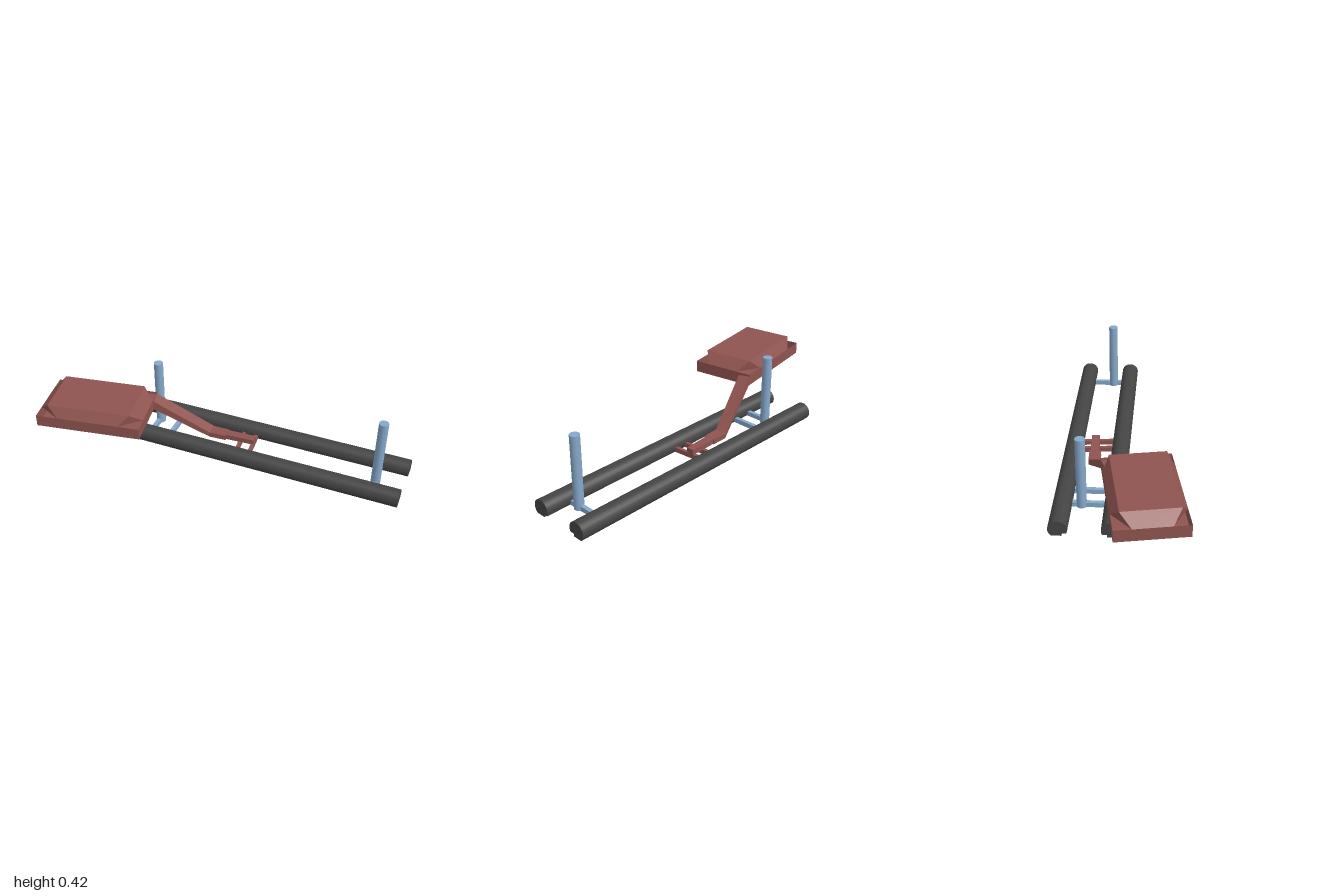
import * as THREE from 'three';
import { toCreasedNormals } from 'three/addons/utils/BufferGeometryUtils.js';

const red = new THREE.MeshStandardMaterial({ color: 0x8f544f, flatShading: true, side: THREE.DoubleSide });
const blue = new THREE.MeshStandardMaterial({ color: 0x85a8cb });
const dark = new THREE.MeshStandardMaterial({ color: 0x444444 });

// Solid through four-cornered sections; each section is [x, z, halfWidth, yLow, yHigh]
function loft(sections) {
  const pos = [], idx = [];
  for (const [x, z, h, lo, hi] of sections) {
    pos.push(x, lo, z - h, x, lo, z + h, x, hi, z + h, x, hi, z - h);
  }
  const last = (sections.length - 1) * 4;
  for (let s = 0; s < last; s += 4) {
    for (let i = 0; i < 4; i++) {
      const a = s + i, b = s + (i + 1) % 4;
      idx.push(a, a + 4, b, b, a + 4, b + 4);
    }
  }
  idx.push(0, 1, 2, 0, 2, 3, last, last + 2, last + 1, last, last + 3, last + 2);
  const g = new THREE.BufferGeometry();
  g.setAttribute('position', new THREE.Float32BufferAttribute(pos, 3));
  g.setIndex(idx);
  const flat = g.toNonIndexed();
  flat.computeVertexNormals();
  return flat;
}

// Paddle shell: rectangular slab, four sloping flaps that narrow outwards, flat top
function paddleGeometry() {
  const W = 0.29, D = 0.178, tw = 0.23, td = 0.143, cx = 0.12, cz = 0.085;
  const y0 = 0.223, y1 = 0.288, y2 = 0.343;
  const pos = [];
  const tri = (a, b, c) => pos.push(...a, ...b, ...c);
  const quad = (a, b, c, d) => { tri(a, b, c); tri(a, c, d); };
  const signs = [[-1, 1], [1, 1], [1, -1], [-1, -1]];
  const ring = (w, d, y) => signs.map(([sx, sz]) => [sx * w, y, sz * d]);
  const low = ring(W, D, y0), rim = ring(W, D, y1), top = ring(tw, td, y2);
  const alongX = ring(W - cx, D, y1), alongZ = ring(W, D - cz, y1);
  for (let i = 0; i < 4; i++) {
    const j = (i + 1) % 4;
    const flap = i % 2 === 0 ? alongX : alongZ;
    quad(low[i], low[j], rim[j], rim[i]);
    quad(flap[i], flap[j], top[j], top[i]);
    // corner between neighbouring flaps
    const before = i % 2 === 0 ? alongZ : alongX;
    tri(before[i], flap[i], top[i]);
  }
  quad(top[0], top[1], top[2], top[3]);
  quad(low[3], low[2], low[1], low[0]);
  const g = new THREE.BufferGeometry();
  g.setAttribute('position', new THREE.Float32BufferAttribute(pos, 3));
  g.computeVertexNormals();
  return g;
}

// Round rail with a flat foot and a notch along its inner side
function railGeometry() {
  const r = 0.049, cy = 0.037, length = 1.69;
  const start = Math.atan2(-0.022, 0.0438), end = Math.PI + Math.atan2(0.037, 0.032);
  const points = [new THREE.Vector2(0.02, 0), new THREE.Vector2(0.02, 0.015)];
  for (let i = 0; i <= 40; i++) {
    const a = start + (end - start) * i / 40;
    points.push(new THREE.Vector2(r * Math.cos(a), cy + r * Math.sin(a)));
  }
  const g = new THREE.ExtrudeGeometry(new THREE.Shape(points), { depth: length, bevelEnabled: false });
  g.translate(0, 0, -length / 2).rotateY(Math.PI / 2);
  return toCreasedNormals(g, 0.5);
}

export function createModel() {
  const model = new THREE.Group();
  const add = (name, geometry, material, x = 0, y = 0, z = 0, turn = 0) => {
    const mesh = new THREE.Mesh(geometry, material);
    mesh.name = name;
    mesh.position.set(x, y, z);
    mesh.rotation.y = turn;
    model.add(mesh);
  };

  // Pair of long rails
  const rail = railGeometry();
  add('frontRail', rail, dark, 0.155, 0, -0.04);
  add('backRail', rail, dark, 0.155, 0, -0.302, Math.PI);

  // Cross bars joining the rails
  for (const x of [-0.46, -0.345, 0.85]) {
    add('crossBar', new THREE.BoxGeometry(0.023, 0.026, 0.2), blue, x, 0.029, -0.171);
  }

  // Upright posts
  for (const [x, z] of [[-0.46, -0.206], [0.85, -0.138]]) {
    add('post', new THREE.CylinderGeometry(0.026, 0.026, 0.401, 32), blue, x, 0.2165, z);
  }

  // Slightly skewed bars under the arm
  for (const x of [0.056, 0.13]) {
    add('armBar', new THREE.BoxGeometry(0.019, 0.026, 0.175), red, x, 0.029, -0.171, 0.09);
  }

  // Arm: flat foot, then a rising stretch that ends inside the paddle
  add('armFoot', loft([[0.137, -0.187, 0.022, 0.04, 0.07], [-0.03, -0.178, 0.024, 0.04, 0.07]]), red);
  add('arm', loft([
    [-0.025, -0.176, 0.032, 0.04, 0.07],
    [-0.12, -0.172, 0.034, 0.04, 0.07],
    [-0.425, -0.072, 0.036, 0.224, 0.277],
    [-0.47, -0.055, 0.036, 0.226, 0.277],
  ]), red);

  // Wide paddle, turned outwards
  add('paddle', paddleGeometry(), red, -0.682, 0, 0.118, 0.174);
  return model;
}
